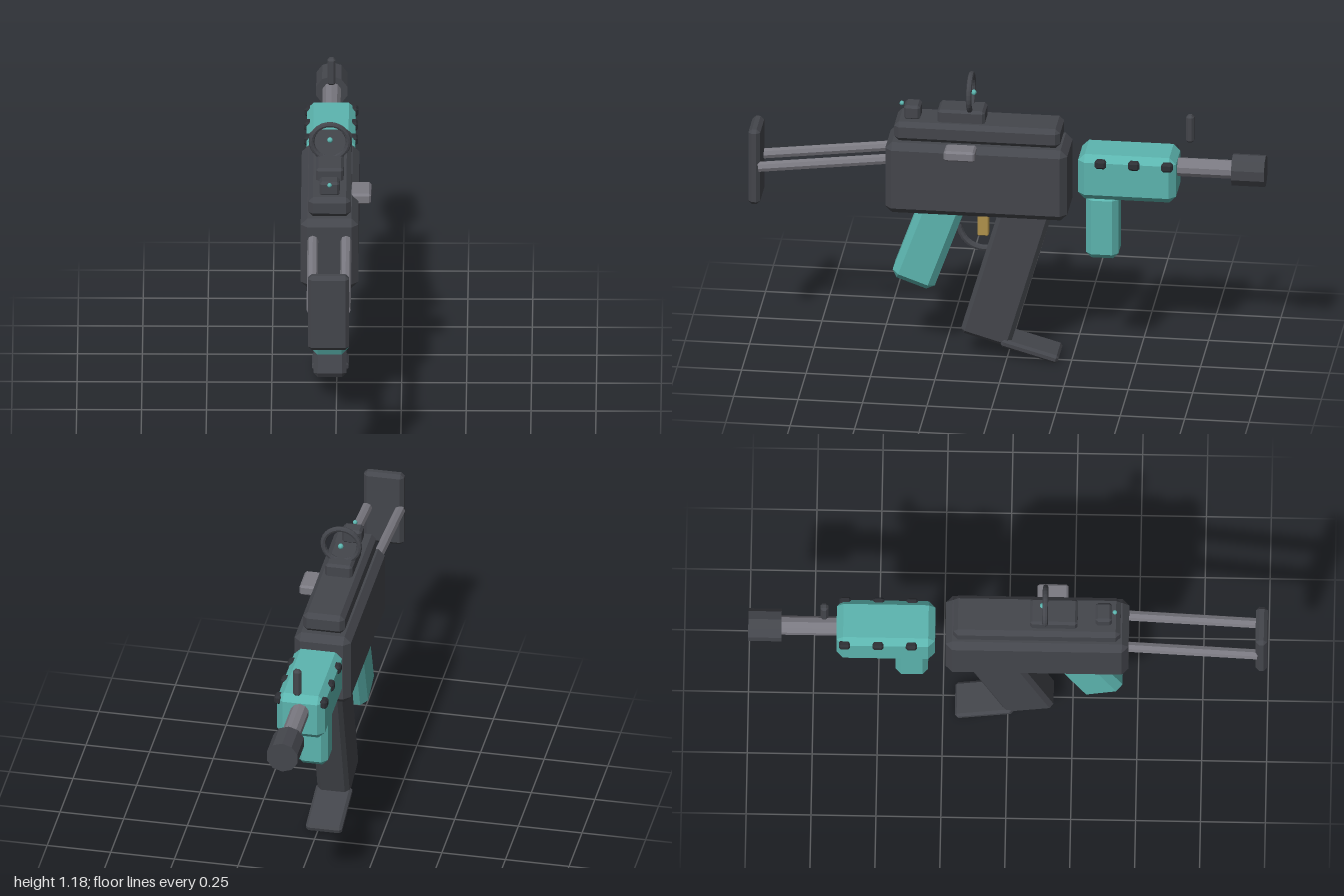
import * as THREE from 'three';
import { ConvexGeometry } from 'three/addons/geometries/ConvexGeometry.js';

const CX = -0.025; // centre line of the body

const paint = (name, color) => {
  const m = new THREE.MeshStandardMaterial({ color, flatShading: true });
  m.name = name;
  return m;
};

// Box with every edge chamfered by b
function chamferBox(w, h, d, b) {
  const pts = [];
  for (const x of [-w / 2, w / 2]) for (const y of [-h / 2, h / 2]) for (const z of [-d / 2, d / 2]) {
    const ix = x - Math.sign(x) * b, iy = y - Math.sign(y) * b, iz = z - Math.sign(z) * b;
    pts.push(new THREE.Vector3(x, iy, iz), new THREE.Vector3(ix, y, iz), new THREE.Vector3(ix, iy, z));
  }
  return new ConvexGeometry(pts);
}

export function createModel() {
  const group = new THREE.Group();
  const dark = paint('charcoal', 0x44464c);
  const black = paint('black', 0x2e3035);
  const teal = paint('teal', 0x5cb5af);
  const steel = paint('steel', 0x7b7a82);
  const brass = paint('brass', 0xb0924c);

  function add(name, geometry, material, x, y, z, tilt = 0) {
    const mesh = new THREE.Mesh(geometry, material);
    mesh.name = name;
    mesh.position.set(x, y, z);
    mesh.rotation.x = tilt;
    group.add(mesh);
    return mesh;
  }
  // Chamfered box given by its size, centre and tilt
  const box = (name, mat, [w, h, d], b, y, z, tilt = 0, x = CX) =>
    add(name, chamferBox(w, h, d, b), mat, x, y, z, tilt);

  // Faceted rod between two points
  function rod(name, mat, r, sides, a, b) {
    const from = new THREE.Vector3(...a), dir = new THREE.Vector3(...b).sub(from);
    const mesh = add(name, new THREE.CylinderGeometry(r, r, dir.length(), sides), mat, 0, 0, 0);
    mesh.position.copy(from).addScaledVector(dir, 0.5);
    mesh.quaternion.setFromUnitVectors(new THREE.Vector3(0, 1, 0), dir.normalize());
  }

  // Body and rail
  box('receiver', dark, [0.222, 0.295, 0.706], 0.026, 0.767, 0.113);
  box('topRail', dark, [0.164, 0.08, 0.644], 0.018, 0.954, 0.112);
  box('boltHandle', steel, [0.08, 0.043, 0.12], 0.008, 0.896, 0.171, 0, 0.094);

  // Sights
  box('ringSightBase', dark, [0.107, 0.06, 0.184], 0.01, 1.014, 0.177);
  box('rearSight', dark, [0.078, 0.06, 0.064], 0.01, 1.018, 0.369);
  add('ringSight', new THREE.TorusGeometry(0.071, 0.011, 8, 28), dark, CX, 1.103, 0.144);
  add('ringSightDot', new THREE.SphereGeometry(0.011, 10, 8), teal, CX, 1.103, 0.133);
  add('rearSightDot', new THREE.SphereGeometry(0.009, 10, 8), teal, CX, 1.043, 0.412);
  box('frontSight', dark, [0.032, 0.114, 0.03], 0.009, 0.997, -0.707);

  // Barrel and muzzle
  rod('barrel', steel, 0.037, 10, [CX, 0.833, -0.5], [CX, 0.833, -0.9]);
  rod('muzzle', dark, 0.063, 10, [CX, 0.833, -0.872], [CX, 0.833, -1]);

  // Handguard with side studs and a foregrip
  box('handguard', teal, [0.188, 0.187, 0.38], 0.026, 0.804, -0.47);
  for (const side of [-1, 1]) for (const z of [-0.37, -0.499, -0.628])
    box('handguardStud', black, [0.03, 0.036, 0.044], 0.008, 0.867, z, 0, CX + side * 0.089);
  box('foregrip', teal, [0.12, 0.27, 0.126], 0.022, 0.585, -0.37);

  // Rear grip, magazine and its foot
  box('rearGrip', teal, [0.146, 0.42, 0.174], 0.026, 0.505, 0.298, -0.345);
  box('magazine', dark, [0.126, 0.65, 0.2], 0.016, 0.397, -0.006, -0.283);
  box('magazineFoot', dark, [0.142, 0.034, 0.23], 0.01, 0.051, -0.091, -0.275);

  // Trigger and its guard
  box('trigger', brass, [0.036, 0.11, 0.043], 0.004, 0.562, 0.096);
  const guard = add('triggerGuard', new THREE.TorusGeometry(0.1, 0.013, 8, 16, Math.PI), dark, CX, 0.55, 0.09);
  guard.rotation.set(Math.PI, Math.PI / 2, 0, 'YXZ');

  // Shoulder stock
  for (const side of [-1, 1])
    rod('stockRod', steel, 0.021, 8,
      [CX + side * 0.064, 0.838, 0.42], [CX + side * 0.064, 0.772, 0.96]);
  box('stockPlate', dark, [0.158, 0.315, 0.046], 0.014, 0.772, 0.977);

  return group;
}
